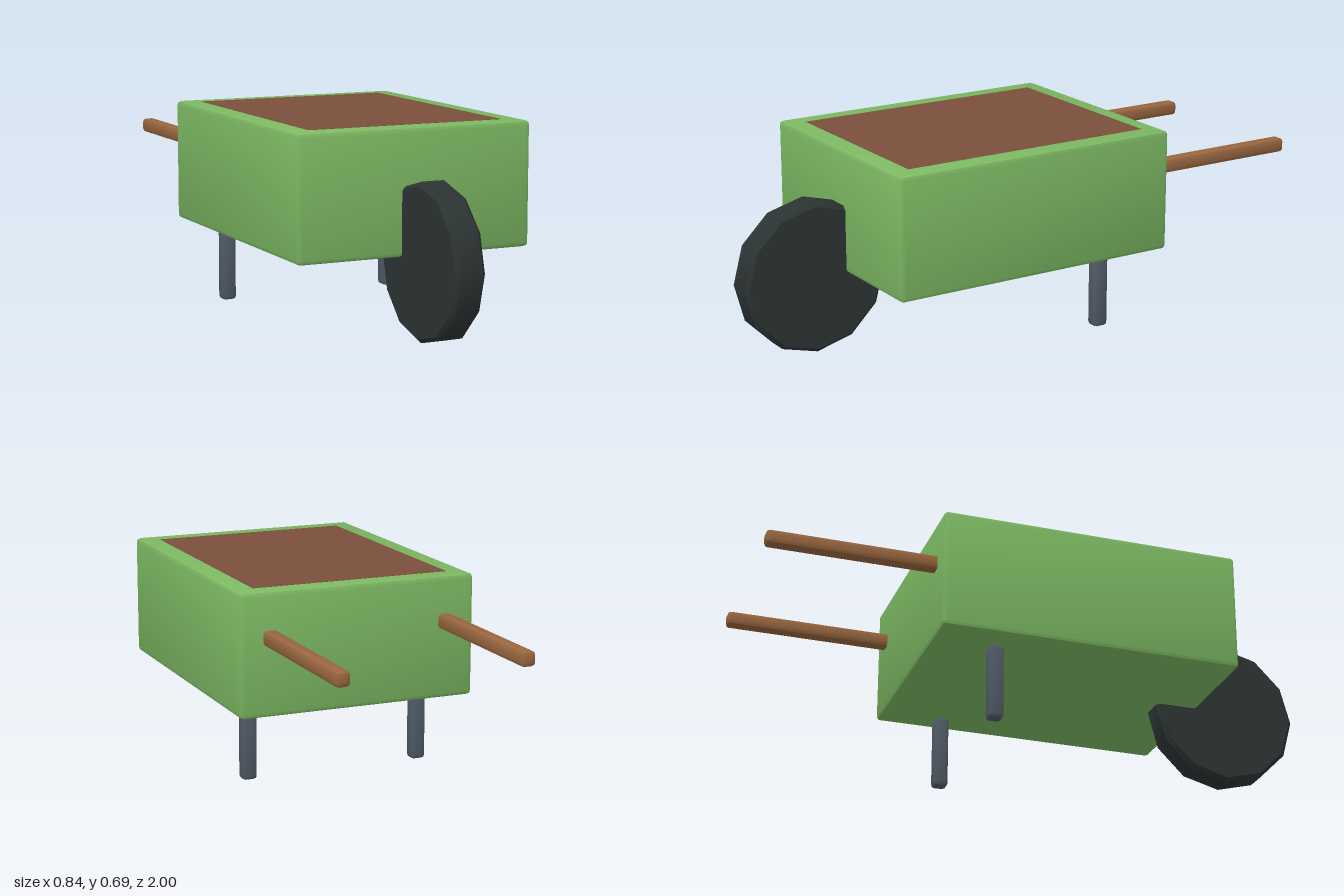
import * as THREE from 'three';
import { toCreasedNormals } from 'three/addons/utils/BufferGeometryUtils.js';
import { RoundedBoxGeometry } from 'three/addons/geometries/RoundedBoxGeometry.js';

const material = (name, color) => {
  const m = new THREE.MeshStandardMaterial({ color });
  m.name = name;
  return m;
};

export function createModel() {
  const green = material('green paint', 0x7cb862);
  const soilBrown = material('soil brown', 0x7a4f3b);
  const rubber = material('dark rubber', 0x2c3333);
  const metal = material('grey metal', 0x505b66);
  const wood = material('handle wood', 0x99663f);

  const model = new THREE.Group();
  model.name = 'wheelbarrow';

  const add = (name, geometry, mat, x, y, z) => {
    const mesh = new THREE.Mesh(geometry, mat);
    mesh.name = name;
    mesh.position.set(x, y, z);
    model.add(mesh);
  };

  // Box with chamfered edges; the small margin offsets the one-step rounding
  const chamferBox = (w, h, d, r) => {
    const m = 0.19 * r;
    return toCreasedNormals(new RoundedBoxGeometry(w + m, h + m, d + m, 1, r), 0.5);
  };

  // Tray and its load
  add('tray', chamferBox(0.838, 0.418, 1.048, 0.014), green, 0, 0.48, 0.104);
  add('soil', new THREE.BoxGeometry(0.7, 0.008, 0.915), soilBrown, 0, 0.687, 0.102);

  // Twelve-sided wheel with a chamfered rim
  const half = 0.052, radius = 0.261, c = 0.013;
  const profile = [
    [0, -half], [radius - c, -half], [radius, -half + c],
    [radius, half - c], [radius - c, half], [0, half],
  ].map(([r, y]) => new THREE.Vector2(r, y));
  const wheel = new THREE.LatheGeometry(profile, 12);
  wheel.rotateZ(Math.PI / 2);
  add('wheel', toCreasedNormals(wheel, 0.6), rubber, 0, 0.27, 0.739);

  // Legs and handles, mirrored
  for (const [side, s] of [['left', 1], ['right', -1]]) {
    add(side + 'Leg', chamferBox(0.05, 0.26, 0.05, 0.013), metal, s * 0.315, 0.132, -0.21);
    add(side + 'Handle', chamferBox(0.048, 0.048, 0.66, 0.013), wood, s * 0.315, 0.536, -0.67);
  }
  return model;
}
